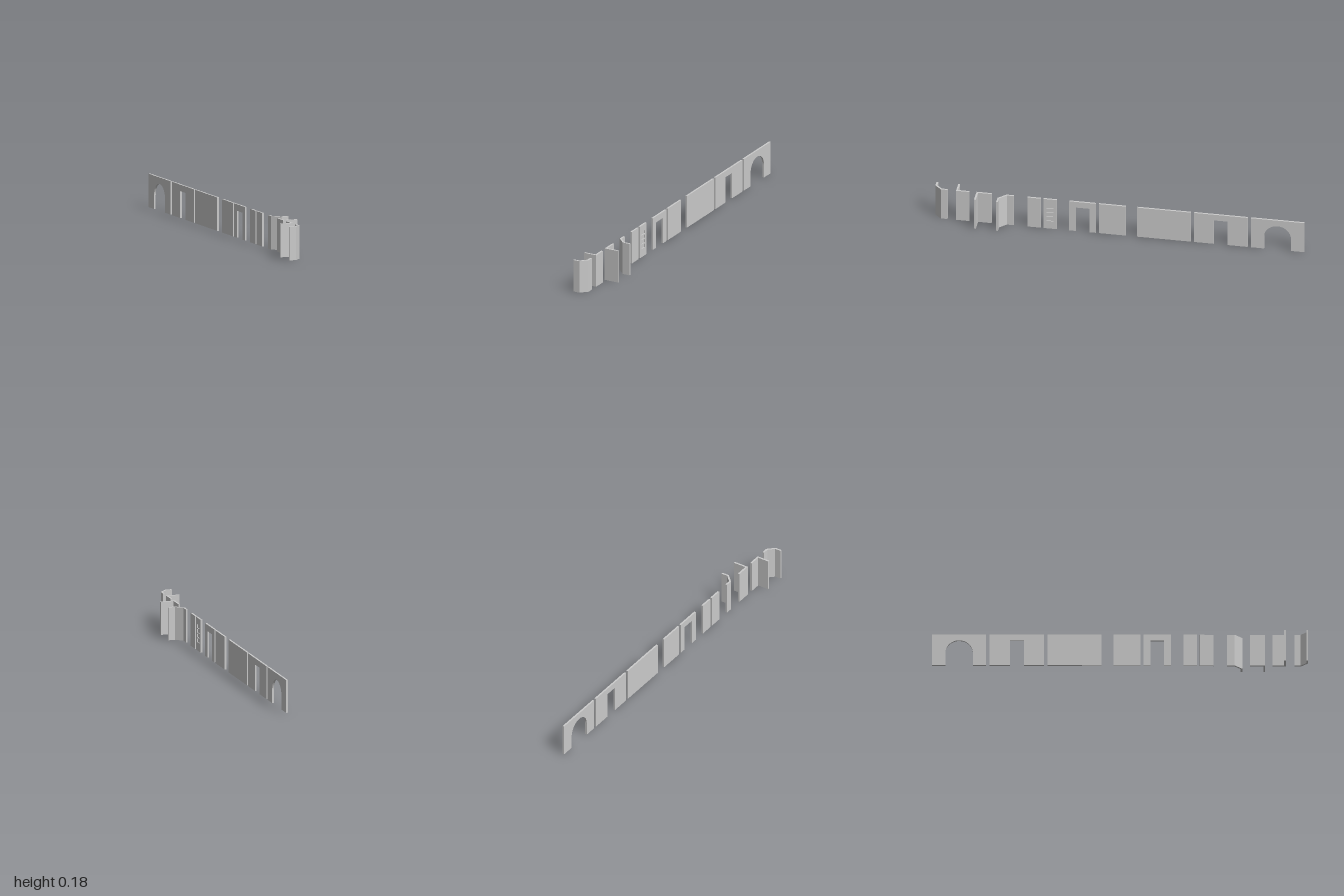
import * as THREE from 'three';

const H = 0.18;      // wall height
const T = 0.01;      // wall thickness
const DOOR = 0.145;  // opening height
const material = new THREE.MeshStandardMaterial({ color: 0xcccccc, flatShading: true });

function addMesh(group, name, geometry) {
  const mesh = new THREE.Mesh(geometry, material);
  mesh.name = name;
  group.add(mesh);
  return mesh;
}

// Outline drawn in (z, y), extruded so the wall fills x = -depth .. 0
function wallGeometry(shape, depth = T) {
  return new THREE.ExtrudeGeometry(shape, { depth, bevelEnabled: false, curveSegments: 24 })
    .rotateY(-Math.PI / 2);
}

// Wall outline from z0 to z1, with an optional opening cut up from the floor
function wallShape(z0, z1, opening) {
  const s = new THREE.Shape();
  s.moveTo(z0, 0);
  if (opening) {
    const { center, width, arched } = opening;
    const r = width / 2;
    s.lineTo(center - r, 0);
    if (arched) {
      s.lineTo(center - r, DOOR - r);
      s.absarc(center, DOOR - r, r, Math.PI, 0, true);
    } else {
      s.lineTo(center - r, DOOR);
      s.lineTo(center + r, DOOR);
    }
    s.lineTo(center + r, 0);
  }
  s.lineTo(z1, 0);
  s.lineTo(z1, H);
  s.lineTo(z0, H);
  s.closePath();
  return s;
}

// Floor plan given as (x, z) points, extruded upwards
function planGeometry(points) {
  const s = new THREE.Shape(points.map(([x, z]) => new THREE.Vector2(x, -z)));
  return new THREE.ExtrudeGeometry(s, { depth: H, bevelEnabled: false }).rotateX(-Math.PI / 2);
}

export function createModel() {
  const model = new THREE.Group();
  model.name = 'modularWallSet';

  // Straight walls, with and without openings
  const walls = [
    ['archWall', -1, -0.711, { center: -0.855, width: 0.146, arched: true }],
    ['wideDoorWall', -0.693, -0.404, { center: -0.547, width: 0.073 }],
    ['wideWall', -0.386, -0.097],
    ['halfWall', -0.035, 0.11],
    ['halfDoorWall', 0.126, 0.27, { center: 0.198, width: 0.073 }],
    ['quarterWall', 0.424, 0.496],
  ];
  for (const [name, z0, z1, opening] of walls) {
    addMesh(model, name, wallGeometry(wallShape(z0, z1, opening)));
  }

  // Quarter wall with four recessed vent slots on its +x face
  const vent = new THREE.Group();
  vent.name = 'ventWall';
  const face = wallShape(0.338, 0.41);
  for (let i = 0; i < 4; i++) {
    const y = 0.046 + i * 0.026;
    face.holes.push(new THREE.Path([
      new THREE.Vector2(0.355, y), new THREE.Vector2(0.355, y + 0.02),
      new THREE.Vector2(0.393, y + 0.02), new THREE.Vector2(0.393, y),
    ]));
  }
  addMesh(vent, 'slottedFace', wallGeometry(face, T / 2));
  addMesh(vent, 'ventBacking', wallGeometry(wallShape(0.338, 0.41), T / 2)).position.x = -T / 2;
  model.add(vent);

  // Corner pieces
  const corners = {
    chamferedInnerCorner: [
      [0, 0.57], [0, 0.606], [0.036, 0.642], [0.073, 0.642],
      [0.073, 0.652], [0.032, 0.652], [-T, 0.61], [-T, 0.57],
    ],
    squareInnerCorner: [
      [0, 0.69], [0, 0.762], [0.073, 0.762], [0.073, 0.772], [-T, 0.772], [-T, 0.69],
    ],
    squareOuterCorner: [
      [0, 0.81], [0, 0.882], [-0.073, 0.882], [-0.073, 0.872], [-T, 0.872], [-T, 0.81],
    ],
    chamferedOuterCorner: [
      [0, 0.928], [0, 0.964], [-0.036, 1], [-0.073, 1],
      [-0.073, 0.99], [-0.04, 0.99], [-T, 0.96], [-T, 0.928],
    ],
  };
  for (const [name, points] of Object.entries(corners)) {
    addMesh(model, name, planGeometry(points));
  }

  return model;
}
